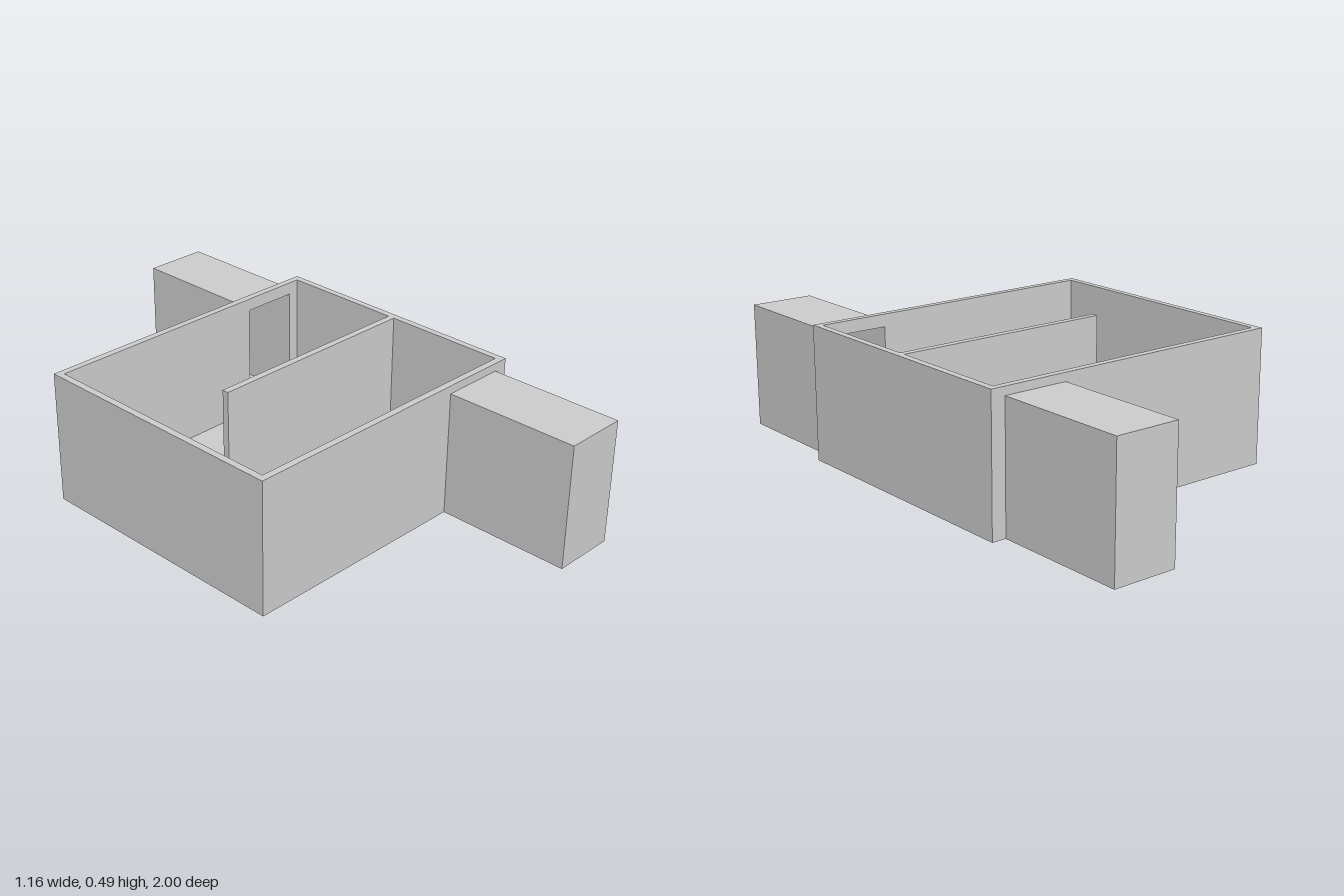
import * as THREE from 'three';

const W = 1.165, D = 1.0, H = 0.49, T = 0.025; // open tray: width, depth, height, wall
const ARM = { x0: 0.292, x1: 0.53, y1: 0.46 }; // outer section of the side arms
const DOOR = { x0: 0.305, x1: 0.517, y0: T, y1: 0.444 }; // passage through the arms
const END = 0.0125; // closed end of an arm

const material = new THREE.MeshStandardMaterial({ color: 0xcccccc, flatShading: true });

function addMesh(parent, name, geometry) {
  const mesh = new THREE.Mesh(geometry, material);
  mesh.name = name;
  parent.add(mesh);
  return mesh;
}

// Box given by its lower and upper corners
function addBox(parent, name, [x0, y0, z0], [x1, y1, z1]) {
  const mesh = addMesh(parent, name, new THREE.BoxGeometry(x1 - x0, y1 - y0, z1 - z0));
  mesh.position.set((x0 + x1) / 2, (y0 + y1) / 2, (z0 + z1) / 2);
}

function rectPoints(x0, y0, x1, y1) {
  return [[x0, y0], [x1, y0], [x1, y1], [x0, y1]].map(([x, y]) => new THREE.Vector2(x, y));
}

// Rectangle pierced by the door opening, extruded from zMin to zMax
function addPierced(parent, name, points, zMin, zMax) {
  const shape = new THREE.Shape(points);
  shape.holes.push(new THREE.Path(rectPoints(DOOR.x0, DOOR.y0, DOOR.x1, DOOR.y1).reverse()));
  const geometry = new THREE.ExtrudeGeometry(shape, { depth: zMax - zMin, bevelEnabled: false });
  addMesh(parent, name, geometry.translate(0, 0, zMin));
}

export function createModel() {
  const model = new THREE.Group();
  model.name = 'dividedTray';
  const x = W / 2, z = D / 2, zi = z - T;

  // Tray floor, closed side walls and the partial divider
  addBox(model, 'floor', [-x + T, 0, -zi], [x - T, T, zi]);
  addBox(model, 'leftWall', [x - T, 0, -zi], [x, H, zi]);
  addBox(model, 'rightWall', [-x, 0, -zi], [-x + T, H, zi]);
  addBox(model, 'divider', [-0.263, T, -T / 2], [x - T, H, T / 2]);

  // Front and back walls with a doorway, each leading into a hollow arm
  for (const s of [1, -1]) {
    const side = s > 0 ? 'front' : 'back';
    const span = (a, b) => [Math.min(s * a, s * b), Math.max(s * a, s * b)];
    addPierced(model, side + 'Wall', rectPoints(-x, 0, x, H), ...span(zi, z));

    const arm = new THREE.Group();
    arm.name = side + 'Arm';
    model.add(arm);
    const section = rectPoints(ARM.x0, 0, ARM.x1, ARM.y1);
    addPierced(arm, side + 'Passage', section, ...span(z, 1 - END));
    const [z0, z1] = span(1 - END, 1);
    addBox(arm, side + 'ArmEnd', [ARM.x0, 0, z0], [ARM.x1, ARM.y1, z1]);
  }
  return model;
}
